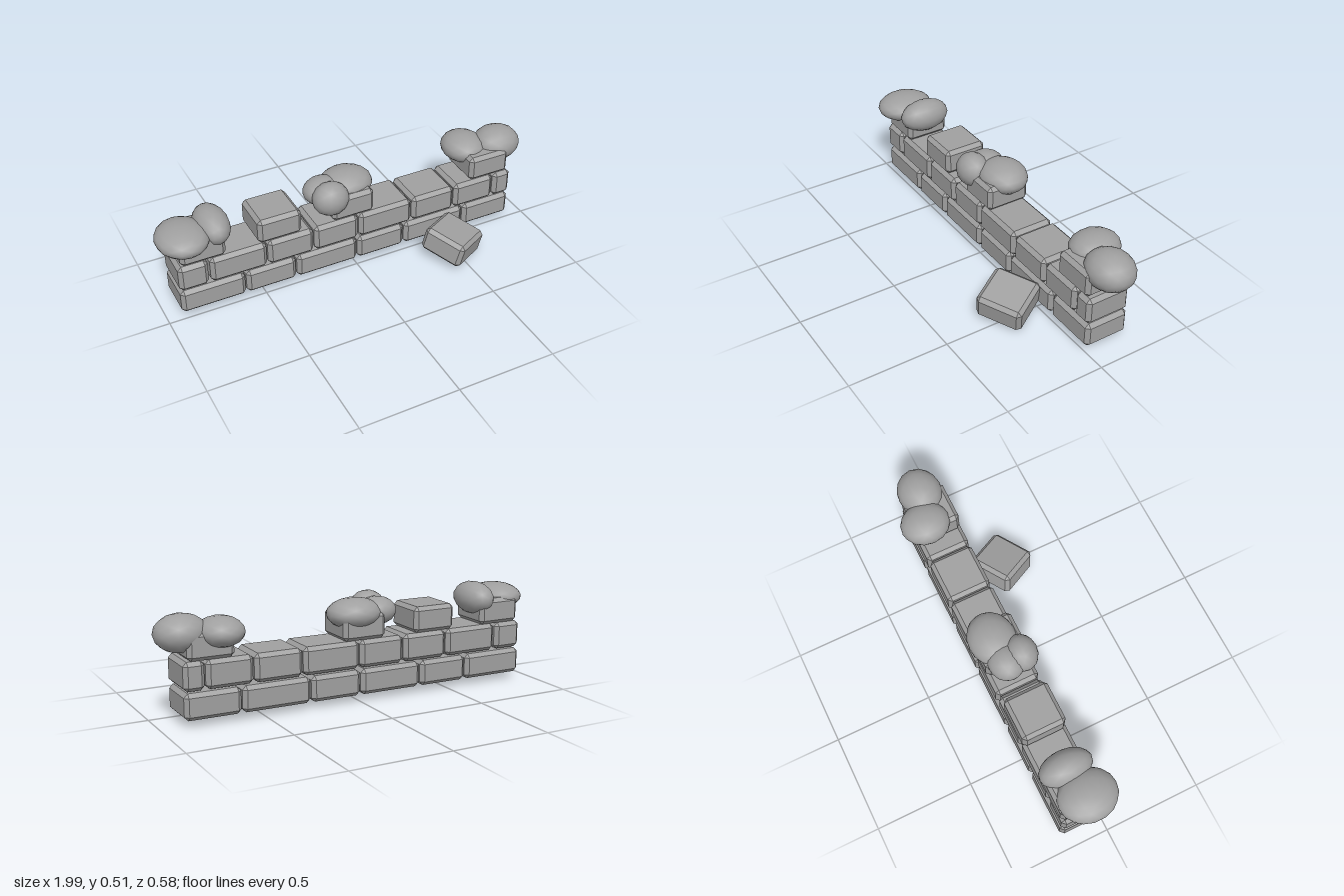
import * as THREE from 'three';
import { ConvexGeometry } from 'three/addons/geometries/ConvexGeometry.js';

const stone = new THREE.MeshStandardMaterial({ color: 0xa0a0a0 });
stone.name = 'stone grey';

// Box with every edge and corner cut off flat
function chamferedBox(w, h, d, c = 0.019) {
  const points = [];
  const half = [w / 2, h / 2, d / 2];
  for (const sx of [-1, 1]) for (const sy of [-1, 1]) for (const sz of [-1, 1]) {
    for (let full = 0; full < 3; full++) {
      const e = half.map((v, i) => (i === full ? v : v - c));
      points.push(new THREE.Vector3(sx * e[0], sy * e[1], sz * e[2]));
    }
  }
  return new ConvexGeometry(points);
}

function addMesh(parent, name, geometry, x, y, z) {
  const mesh = new THREE.Mesh(geometry, stone);
  mesh.name = name;
  mesh.position.set(x, y, z);
  parent.add(mesh);
  return mesh;
}

export function createModel() {
  const model = new THREE.Group();
  model.name = 'ruinedWall';

  // Courses of bricks: [left, right] spans along x
  const courses = [
    { name: 'bottomCourse', y: [0.031, 0.158], z: [-0.22, 0.009],
      spans: [[-0.93, -0.602], [-0.596, -0.335], [-0.328, 0], [0.005, 0.266], [0.272, 0.616], [0.622, 0.897]] },
    { name: 'middleCourse', y: [0.165, 0.302], z: [-0.218, 0.012],
      spans: [[-0.93, -0.782], [-0.772, -0.484], [-0.478, -0.238], [-0.232, 0.006],
        [0.012, 0.306], [0.312, 0.554], [0.56, 0.79], [0.796, 0.897]] },
    { name: 'topBricks', y: [0.302, 0.432], z: [-0.219, 0.008],
      spans: [[-0.912, -0.686], [-0.522, -0.296], [-0.131, 0.095], [0.65, 0.876]] },
  ];
  for (const { name, y, z, spans } of courses) {
    const course = new THREE.Group();
    course.name = name;
    for (const [x0, x1] of spans) {
      addMesh(course, 'brick', chamferedBox(x1 - x0, y[1] - y[0], z[1] - z[0]),
        (x0 + x1) / 2, (y[0] + y[1]) / 2, (z[0] + z[1]) / 2);
    }
    model.add(course);
  }

  // Fallen brick leaning on the foot of the wall
  const fallen = addMesh(model, 'fallenBrick', chamferedBox(0.233, 0.13, 0.228), 0.472, 0.089, 0.147);
  fallen.rotation.set(0.2, 0.51, -0.115, 'YXZ');

  // Rounded clumps of moss: centre, then radii
  const clumps = {
    rightMoss: [[-0.873, 0.42, -0.07, 0.128, 0.066, 0.148], [-0.716, 0.425, -0.102, 0.085, 0.083, 0.135]],
    middleMoss: [[-0.125, 0.421, -0.036, 0.094, 0.086, 0.081], [0, 0.422, -0.13, 0.139, 0.076, 0.12],
      [-0.13, 0.42, -0.12, 0.1, 0.07, 0.09]],
    leftMoss: [[0.7, 0.416, -0.16, 0.113, 0.072, 0.127], [0.87, 0.417, -0.113, 0.128, 0.09, 0.113]],
  };
  const ball = new THREE.IcosahedronGeometry(1, 2);
  for (const [name, blobs] of Object.entries(clumps)) {
    const clump = new THREE.Group();
    clump.name = name;
    for (const [x, y, z, rx, ry, rz] of blobs) {
      addMesh(clump, 'mossBlob', ball, x, y, z).scale.set(rx, ry, rz);
    }
    model.add(clump);
  }
  return model;
}
